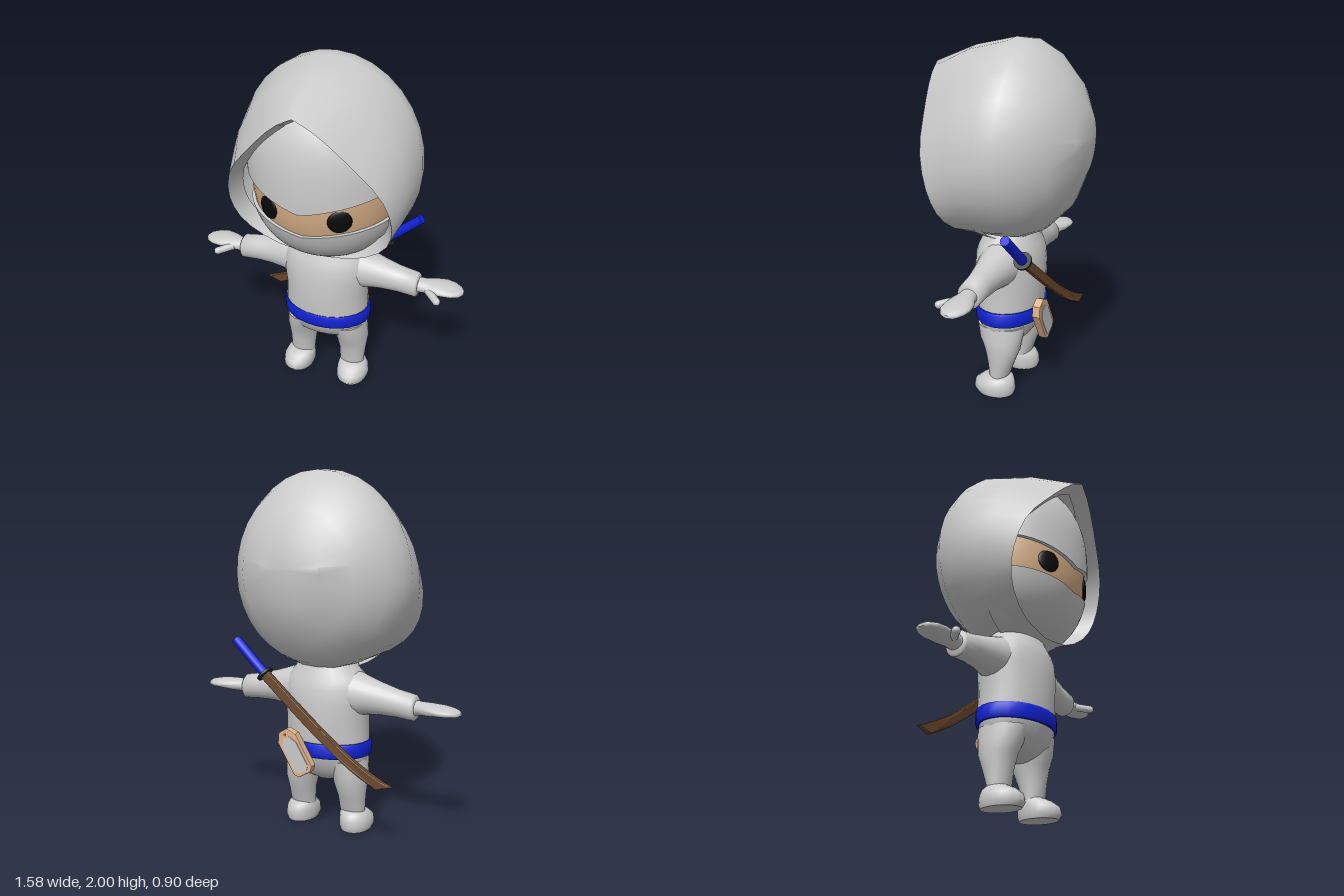
import * as THREE from 'three';
import { toCreasedNormals } from 'three/addons/utils/BufferGeometryUtils.js';

const mat = (color, side = THREE.FrontSide) => new THREE.MeshStandardMaterial({ color, side });
const cloth = mat(0xcccccc), clothOpen = mat(0xcccccc, THREE.DoubleSide);
const skin = mat(0xd6ae86, THREE.DoubleSide), black = mat(0x080808), blue = mat(0x1022d8);
const wood = mat(0x6b472c), tagWood = mat(0xe0b48c), dark = mat(0x1c2b2b);

function mesh(name, geometry, material, parent) {
  const m = new THREE.Mesh(geometry, material);
  m.name = name;
  parent.add(m);
  return m;
}

// Joins rows of points into a surface; closed rows wrap around and face outwards
function surface(rows, closed = true, crease = 0.9) {
  const n = rows[0].length, index = [];
  for (let r = 0; r < rows.length - 1; r++) {
    for (let i = 0; i < (closed ? n : n - 1); i++) {
      const j = (i + 1) % n, a = r * n + i, b = r * n + j, c = a + n, d = b + n;
      index.push(a, b, c, b, d, c);
    }
  }
  const p = rows.flat();
  let volume = 0;
  const cross = new THREE.Vector3(), mid = p.reduce((s, v) => s.add(v), new THREE.Vector3()).divideScalar(p.length);
  const q = p.map((v) => v.clone().sub(mid));
  for (let i = 0; i < index.length; i += 3) {
    volume += q[index[i]].dot(cross.crossVectors(q[index[i + 1]], q[index[i + 2]]));
  }
  if (volume < 0) index.reverse();
  const g = new THREE.BufferGeometry().setFromPoints(p);
  g.setIndex(index);
  return toCreasedNormals(g, crease);
}

// Elliptical loft up y: [y, cx, cz, rx, rz], or along x: [x, cy, cz, ry, rz]
function loft(rows, alongX = false, cap = true, n = 24) {
  const all = cap
    ? [[...rows[0].slice(0, 3), 1e-4, 1e-4], ...rows, [...rows[rows.length - 1].slice(0, 3), 1e-4, 1e-4]]
    : rows;
  return surface(all.map(([t, c1, c2, r1, r2]) => Array.from({ length: n }, (_, i) => {
    const a = (i / n) * Math.PI * 2, u = c1 + r1 * Math.cos(a), w = c2 + r2 * Math.sin(a);
    return alongX ? new THREE.Vector3(t, u, w) : new THREE.Vector3(u, t, w);
  })));
}

// Hood: pointed slanted opening blending into a round back
function hoodGeometry() {
  const half = 16, n = half * 2;
  const rimCurve = new THREE.CatmullRomCurve3([[0, 1.85], [0.1, 1.79], [0.27, 1.62], [0.41, 1.44],
    [0.45, 1.25], [0.4, 1.1], [0.23, 0.98], [0, 0.94]].map(([x, y]) => new THREE.Vector3(x, y, 0)));
  const rim = Array.from({ length: n }, (_, i) => {
    const p = rimCurve.getPoint((i <= half ? i : n - i) / half);
    return new THREE.Vector3(i <= half ? p.x : -p.x, p.y, 0.18 + (p.y - 0.93) * 0.29);
  });
  const ring = (z, w, top, bottom, yc) => rim.map((_, i) => {
    const a = (i / half) * Math.PI, c = Math.cos(a);
    return new THREE.Vector3(w * Math.sin(a), yc + c * (c > 0 ? top - yc : yc - bottom), z);
  });
  const mid = ring(-0.03, 0.51, 2.0, 0.93, 1.42);
  const between = rim.map((p, i) => {
    const v = p.clone().lerp(mid[i], 0.65);
    v.z = p.z * 0.5 + mid[i].z * 0.5;
    return v;
  });
  const lining = rim.map((p) => new THREE.Vector3(p.x * 0.9, 1.38 + (p.y - 1.38) * 0.92, p.z - 0.09));
  return surface([lining, rim, between, mid,
    ring(-0.12, 0.495, 1.995, 0.94, 1.43), ring(-0.22, 0.45, 1.94, 0.985, 1.44),
    ring(-0.34, 0.33, 1.81, 1.11, 1.46), ring(-0.42, 0.17, 1.66, 1.3, 1.48),
    ring(-0.45, 1e-4, 1.5, 1.5, 1.5)], true, 1.1);
}

// Point on the rounded head at an azimuth and height
function headPoint(a, y, inset = 0) {
  const r = Math.pow(Math.max(0, 1 - Math.pow(Math.abs(y - 1.42) / 0.5, 2.5)), 0.4);
  return new THREE.Vector3((0.43 - inset) * r * Math.sin(a), y, (0.4 - inset) * r * Math.cos(a));
}

// Front part of the head between two height rules, with folded edges
function headPatch(low, high, inset, fold = 0) {
  const cols = 24, steps = 14, rows = [];
  const row = (t, ins) => Array.from({ length: cols + 1 }, (_, i) => {
    const a = (i / cols - 0.5) * 3.0, x = Math.abs(0.43 * Math.sin(a));
    return headPoint(a, THREE.MathUtils.lerp(low(x), high(x), t), ins);
  });
  if (fold) rows.push(row(0, inset + fold));
  for (let s = 0; s <= steps; s++) rows.push(row(s / steps, inset));
  if (fold) rows.push(row(1, inset + fold));
  return surface(rows, false, 0.7);
}

function limbs(side) {
  const g = new THREE.Group();
  g.name = side > 0 ? 'leftLimbs' : 'rightLimbs';
  const mirror = (rows, i) => rows.map((r) => r.map((v, k) => (k === i ? v * side : v)));
  mesh('leg', loft(mirror([[0.1, 0.16, 0, 0.073, 0.055], [0.2, 0.16, -0.01, 0.08, 0.08],
    [0.28, 0.155, -0.015, 0.095, 0.105], [0.34, 0.148, -0.005, 0.1, 0.125], [0.42, 0.13, 0, 0.11, 0.14]], 1)), cloth, g);
  mesh('shoe', loft(mirror([[0, 0.175, 0.02, 0.085, 0.11], [0.025, 0.175, 0.025, 0.094, 0.124],
    [0.065, 0.174, 0.022, 0.092, 0.118], [0.095, 0.168, 0.008, 0.082, 0.092], [0.115, 0.162, 0, 0.066, 0.06]], 1)), cloth, g);
  mesh('sleeve', loft(mirror([[0.1, 0.8, -0.01, 0.13, 0.14], [0.2, 0.795, -0.01, 0.122, 0.115],
    [0.26, 0.79, -0.01, 0.105, 0.1], [0.33, 0.782, -0.01, 0.09, 0.085], [0.43, 0.768, -0.01, 0.077, 0.07],
    [0.53, 0.755, -0.01, 0.072, 0.068], [0.54, 0.755, -0.01, 0.06, 0.058]], 0), true), cloth, g);
  mesh('hand', loft(mirror([[0.5, 0.755, -0.01, 0.045, 0.045], [0.57, 0.758, -0.014, 0.037, 0.05],
    [0.62, 0.76, -0.02, 0.035, 0.068], [0.68, 0.762, -0.025, 0.03, 0.077], [0.73, 0.76, -0.025, 0.025, 0.07],
    [0.77, 0.757, -0.024, 0.019, 0.045], [0.788, 0.756, -0.024, 0.008, 0.018]], 0), true), cloth, g);
  const from = new THREE.Vector3(0.59 * side, 0.755, 0.015), to = new THREE.Vector3(0.665 * side, 0.745, 0.09);
  const thumb = mesh('thumb', new THREE.CapsuleGeometry(0.022, from.distanceTo(to), 5, 12), cloth, g);
  thumb.position.copy(from).lerp(to, 0.5);
  thumb.quaternion.setFromUnitVectors(new THREE.Vector3(0, 1, 0), to.clone().sub(from).normalize());
  return g;
}

function sword() {
  const g = new THREE.Group();
  g.name = 'sword';
  const low = new THREE.Vector3(0.29, 0.89, -0.2), top = new THREE.Vector3(0.485, 1.068, -0.19);
  const dir = top.clone().sub(low).normalize();
  const turn = new THREE.Quaternion().setFromUnitVectors(new THREE.Vector3(0, 1, 0), dir);
  const handle = mesh('handle', new THREE.CylinderGeometry(0.027, 0.027, low.distanceTo(top), 12), blue, g);
  handle.position.copy(low).lerp(top, 0.5);
  const guard = mesh('guard', new THREE.CylinderGeometry(0.05, 0.05, 0.014, 16), dark, g);
  guard.position.copy(low);
  handle.quaternion.copy(turn);
  guard.quaternion.copy(turn);
  // Curved scabbard with a slanted tip, leaning along the back
  const curve = new THREE.SplineCurve([[0.29, 0.89], [0, 0.66], [-0.26, 0.475], [-0.43, 0.385]]
    .map(([x, y]) => new THREE.Vector2(x, y)));
  const edge = (s) => Array.from({ length: 15 }, (_, i) => {
    const t = curve.getTangent(i / 14);
    return curve.getPoint(i / 14).add(new THREE.Vector2(-t.y, t.x).multiplyScalar(0.022 * s));
  });
  const outline = [...edge(1), new THREE.Vector2(-0.495, 0.385), ...edge(-1).reverse()];
  const blade = new THREE.ExtrudeGeometry(new THREE.Shape(outline),
    { depth: 0.014, bevelSize: 0.007, bevelThickness: 0.007, bevelSegments: 2 });
  const p = blade.attributes.position;
  for (let i = 0; i < p.count; i++) p.setZ(i, p.getZ(i) - 0.257 + 0.05 * Math.max(0, (p.getY(i) - 0.4) / 0.5));
  blade.computeVertexNormals();
  mesh('scabbard', blade, wood, g);
  return g;
}

function backTag() {
  const g = new THREE.Group();
  g.name = 'backTag';
  const outline = (w, top, bottom) => new THREE.Shape([[-w, bottom + 0.02], [-w + 0.02, bottom], [w - 0.02, bottom],
    [w, bottom + 0.02], [w, top - 0.045], [w * 0.45, top], [-w * 0.45, top], [-w, top - 0.045]]
    .map(([x, y]) => new THREE.Vector2(x, y)));
  const board = outline(0.06, 0.13, -0.13);
  board.holes.push(new THREE.Path().absarc(0, 0.108, 0.01, 0, Math.PI * 2, true));
  mesh('board', new THREE.ExtrudeGeometry(board,
    { depth: 0.036, bevelSize: 0.005, bevelThickness: 0.005, bevelSegments: 2, curveSegments: 8 }), tagWood, g);
  const panel = mesh('panel', new THREE.ExtrudeGeometry(outline(0.047, 0.09, -0.117),
    { depth: 0.004, bevelEnabled: false }), cloth, g);
  panel.position.z = -0.008;
  g.position.set(0.08, 0.48, -0.247);
  g.rotation.z = -0.54;
  return g;
}

export function createModel() {
  const model = new THREE.Group();
  model.name = 'hoodedFighter';

  // Head
  const brow = (x) => 1.31 + 0.25 * x, maskTop = (x) => 1.165 + 0.15 * x;
  mesh('hood', hoodGeometry(), clothOpen, model);
  mesh('face', headPatch(() => 1.1, () => 1.46, 0.02), skin, model);
  mesh('foreheadWrap', headPatch(brow, () => 1.918, 0, 0.022), clothOpen, model);
  mesh('mask', headPatch(() => 0.925, maskTop, 0, 0.022), clothOpen, model);
  for (const s of [-1, 1]) {
    const eye = mesh(s > 0 ? 'leftEye' : 'rightEye', new THREE.SphereGeometry(0.064, 24, 12), black, model);
    const a = Math.asin(0.193 / 0.4) * s;
    eye.scale.z = 0.22;
    eye.position.copy(headPoint(a, 1.28, 0.02));
    eye.rotation.y = Math.atan2(Math.sin(a) / 0.41, Math.cos(a) / 0.38);
  }

  // Body
  mesh('torso', loft([[0.285, 0, -0.01, 0.06, 0.05], [0.32, 0, -0.01, 0.18, 0.1], [0.37, 0, 0, 0.235, 0.145],
    [0.45, 0, 0, 0.247, 0.178], [0.55, 0, 0, 0.247, 0.188], [0.65, 0, 0, 0.243, 0.192], [0.75, 0, 0, 0.255, 0.192],
    [0.83, 0, 0, 0.255, 0.183], [0.88, 0, 0, 0.235, 0.168], [0.92, 0, 0, 0.195, 0.15], [0.98, 0, 0, 0.16, 0.13]]), cloth, model);
  mesh('belt', loft([[0.445, 0, -0.003, 0.256, 0.188], [0.455, 0, -0.003, 0.261, 0.194], [0.518, 0, -0.003, 0.261, 0.196],
    [0.528, 0, -0.003, 0.255, 0.191]]), blue, model);
  for (const s of [-1, 1]) model.add(limbs(s));

  // Gear on the back
  model.add(sword(), backTag());
  return model;
}
